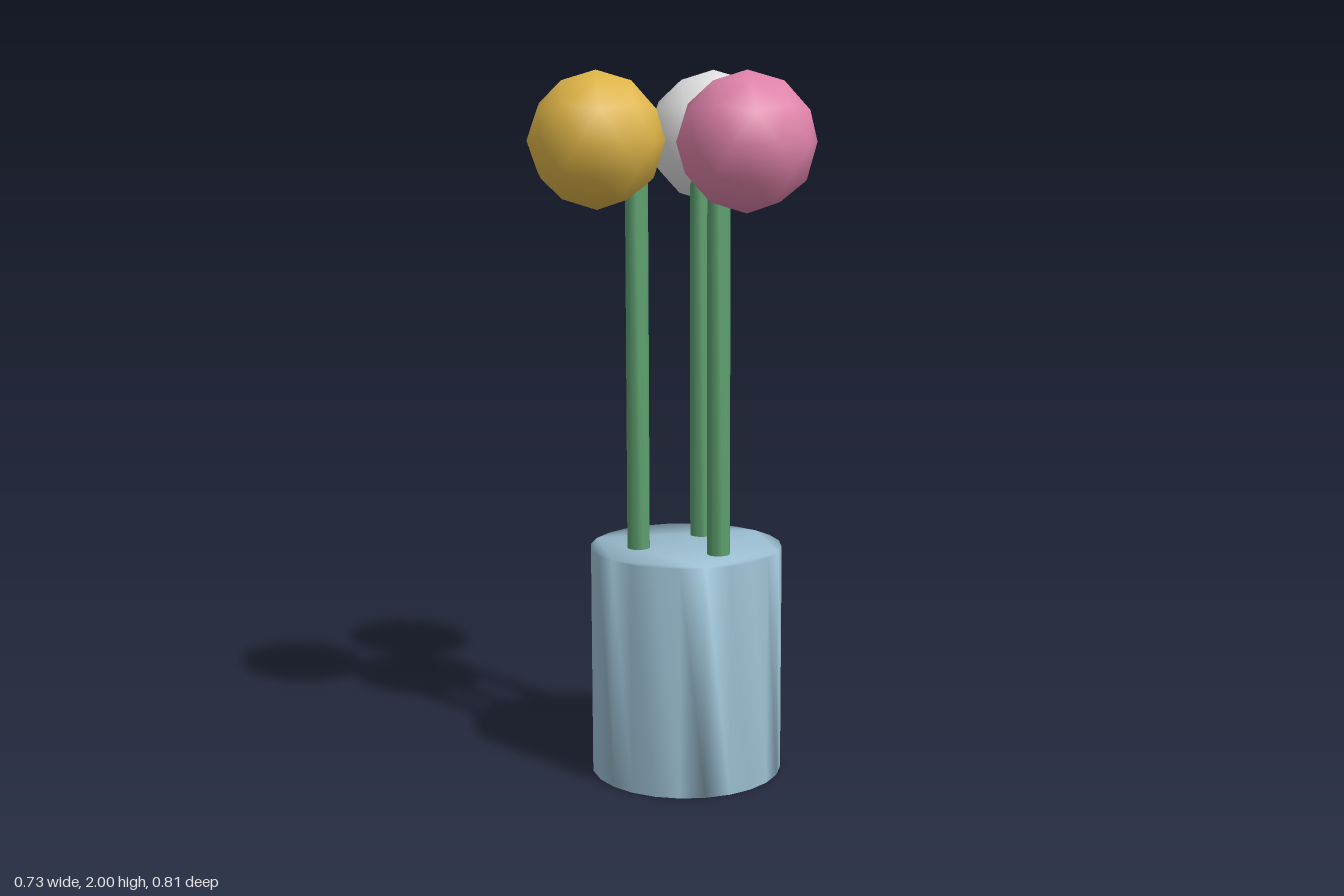
import * as THREE from 'three';
import { mergeVertices } from 'three/addons/utils/BufferGeometryUtils.js';

const paint = (name, color) => {
  const m = new THREE.MeshStandardMaterial({ color });
  m.name = name;
  return m;
};

// Closed upright cylinder whose walls and caps share smooth normals
function softCylinder(radius, y0, y1, sides) {
  const shape = new THREE.Shape().absarc(0, 0, radius, 0, Math.PI * 2);
  let geo = new THREE.ExtrudeGeometry(shape, { depth: y1 - y0, bevelEnabled: false, curveSegments: sides / 2 });
  geo.deleteAttribute('normal');
  geo.deleteAttribute('uv');
  geo.clearGroups();
  geo = mergeVertices(geo, 1e-4);
  geo.computeVertexNormals();
  return geo.rotateX(-Math.PI / 2).translate(0, y0, 0);
}

export function createModel() {
  const model = new THREE.Group();
  model.name = 'flowerVase';
  const blue = paint('vaseBlue', 0x9dc1d4);
  const green = paint('stemGreen', 0x5da06e);
  const blooms = [
    ['pink', paint('bloomPink', 0xe083aa)],
    ['white', paint('bloomWhite', 0xe2e2e2)],
    ['yellow', paint('bloomYellow', 0xdfb548)],
  ];

  const centreX = -0.065;
  const add = (name, geo, mat, x, y, z) => {
    const mesh = new THREE.Mesh(geo, mat);
    mesh.name = name;
    mesh.position.set(x, y, z);
    model.add(mesh);
  };

  // Vase
  add('vase', softCylinder(0.274, 0, 0.66, 24), blue, centreX, 0, 0);

  // Three stems in a ring, each with a faceted ball bloom set further out
  const stemGeo = softCylinder(0.032, 0.64, 1.8, 16);
  const bloomGeo = new THREE.IcosahedronGeometry(0.19, 1);
  bloomGeo.rotateZ(-Math.atan(2 / (1 + Math.sqrt(5)))).rotateY(Math.PI); // a corner points straight up
  blooms.forEach(([name, mat], i) => {
    const a = (i * Math.PI * 2) / 3;
    const c = Math.cos(a), s = -Math.sin(a);
    add(name + 'Stem', stemGeo, green, centreX + 0.138 * c, 0, 0.138 * s);
    add(name + 'Bloom', bloomGeo, mat, centreX + 0.249 * c, 1.81, 0.249 * s);
  });
  return model;
}
